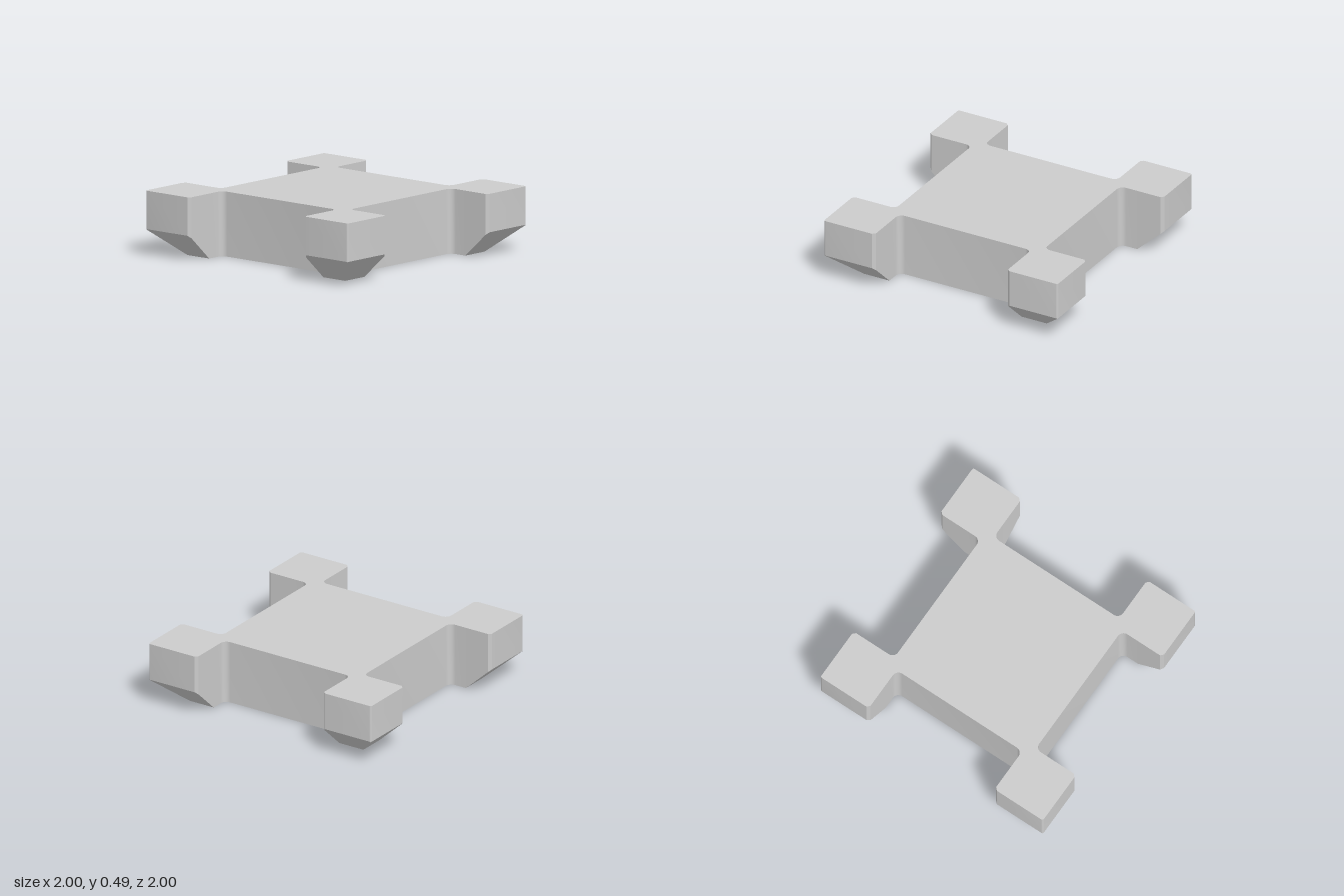
import * as THREE from 'three';
import { toCreasedNormals } from 'three/addons/utils/BufferGeometryUtils.js';

const TOP = 0.49;     // slab height
const RIM = 0.2;      // where the corner slopes begin
const FOOT = 0.78;    // half width of the underside
const IN = 0.565;     // inner side of the corner blocks
const WALL = 0.635;   // recessed side walls
const CUT = 0.022;    // chamfer on the block corners
const FILLET = 0.05;
const ROUND = 0.015;  // rounding of the outermost corners

const arc = (cx, cz, r, from, to, n) => Array.from({ length: n + 1 }, (_, i) => {
  const a = from + (to - from) * i / n;
  return new THREE.Vector2(cx + r * Math.cos(a), cz + r * Math.sin(a));
});

// Plan outline (x, z): one corner block, turned four times
function makeOutline() {
  const v = (x, z) => new THREE.Vector2(x, z);
  const h = Math.PI / 2;
  const corner = [
    ...arc(WALL + FILLET, IN - FILLET, FILLET, Math.PI, h, 8),
    v(FOOT, IN), v(1 - CUT, IN), v(1, IN + CUT),
    ...arc(1 - ROUND, 1 - ROUND, ROUND, 0, h, 4),
    v(IN + CUT, 1), v(IN, 1 - CUT), v(IN, FOOT),
    ...arc(IN - FILLET, WALL + FILLET, FILLET, 0, -h, 8),
  ];
  const outline = [];
  const origin = v(0, 0);
  for (let k = 0; k < 4; k++) {
    for (const p of corner) outline.push(p.clone().rotateAround(origin, k * h));
  }
  return outline;
}

function makeBody() {
  const outline = makeOutline();
  const clamp = (t) => THREE.MathUtils.clamp(t, -FOOT, FOOT);
  const at = (p, y) => new THREE.Vector3(p.x, y, p.y);

  // Three rings: top edge, rim lying on the slopes, and underside edge
  const footprint = outline.map((p) => new THREE.Vector2(clamp(p.x), clamp(p.y)));
  const top = outline.map((p) => at(p, TOP));
  const rim = outline.map((p) => {
    const reach = Math.max(Math.abs(p.x), Math.abs(p.y));
    return at(p, Math.max(0, (reach - FOOT) / (1 - FOOT) * RIM));
  });
  const foot = footprint.map((p) => at(p, 0));

  const positions = [];
  const triangle = (a, b, c) => {
    const area = b.clone().sub(a).cross(c.clone().sub(a)).length();
    if (area > 1e-8) for (const p of [a, b, c]) positions.push(p.x, p.y, p.z);
  };
  const band = (low, high) => low.forEach((p, i) => {
    const j = (i + 1) % low.length;
    triangle(p, high[i], high[j]);
    triangle(p, high[j], low[j]);
  });
  const cap = (contour, y, up) => {
    for (const [a, b, c] of THREE.ShapeUtils.triangulateShape(contour, [])) {
      const [p, q, r] = [a, b, c].map((i) => at(contour[i], y));
      if (up) triangle(r, q, p);
      else triangle(p, q, r);
    }
  };

  band(rim, top);   // upright walls
  band(foot, rim);  // corner slopes
  cap(outline, TOP, true);
  cap(footprint.filter((p, i) =>
    p.distanceTo(footprint[(i + 1) % footprint.length]) > 1e-5), 0, false);

  const geometry = new THREE.BufferGeometry();
  geometry.setAttribute('position', new THREE.Float32BufferAttribute(positions, 3));
  return toCreasedNormals(geometry, 0.5);
}

export function createModel() {
  const group = new THREE.Group();
  group.name = 'fourCornerPlate';
  const body = new THREE.Mesh(makeBody(), new THREE.MeshStandardMaterial({ color: 0xcccccc }));
  body.name = 'plateWithCornerBlocks';
  group.add(body);
  return group;
}
